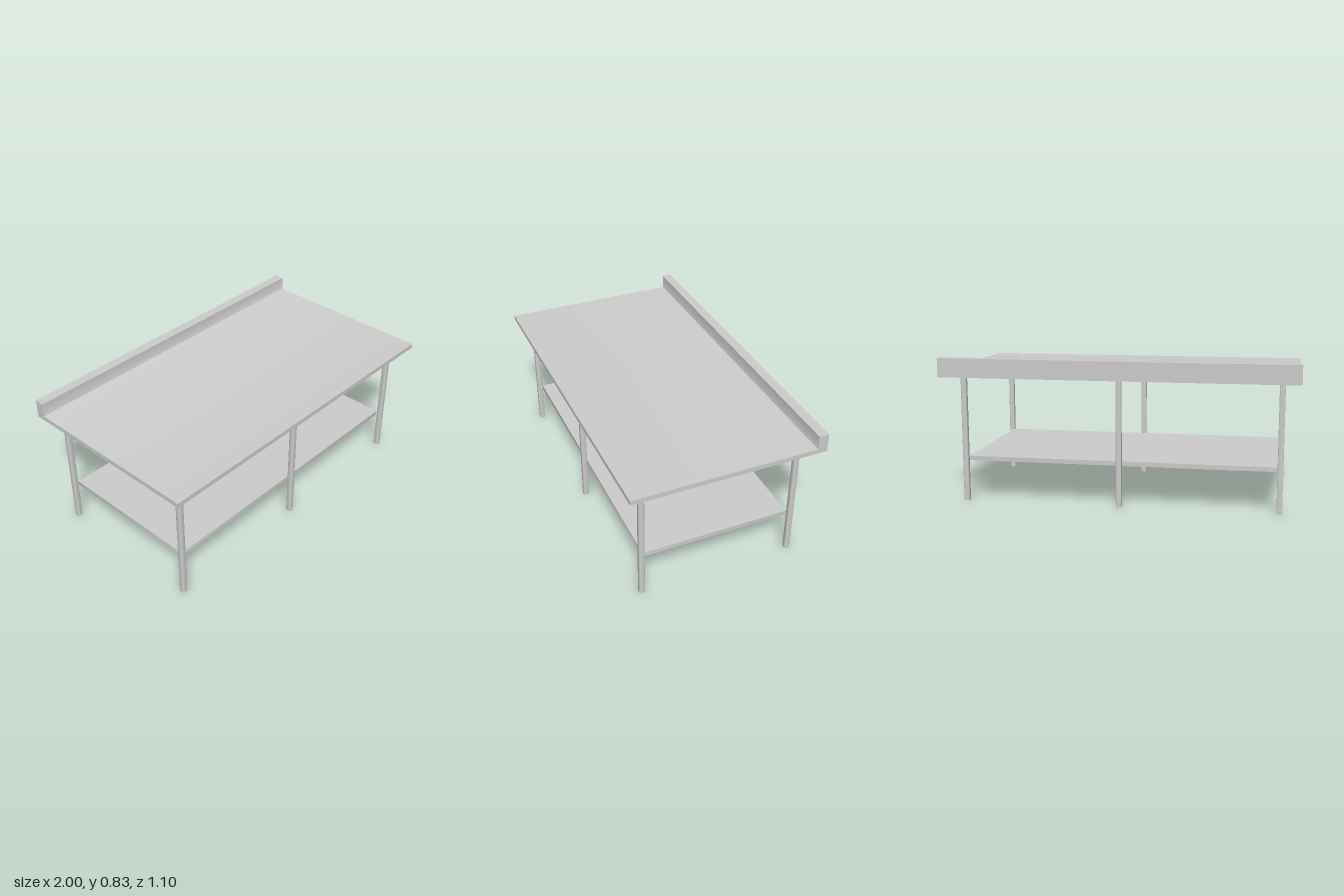
import * as THREE from 'three';
import { toCreasedNormals } from 'three/addons/utils/BufferGeometryUtils.js';

const material = new THREE.MeshStandardMaterial({ color: 0xcccccc });

// Upright slab with slightly rounded vertical corners, standing on its base
function roundedPrism(name, width, depth, height, radius) {
  const x = width / 2, z = depth / 2, r = radius;
  const shape = new THREE.Shape();
  shape.absarc(x - r, z - r, r, 0, Math.PI / 2);
  shape.absarc(-x + r, z - r, r, Math.PI / 2, Math.PI);
  shape.absarc(-x + r, -z + r, r, Math.PI, Math.PI * 1.5);
  shape.absarc(x - r, -z + r, r, Math.PI * 1.5, Math.PI * 2);
  const geometry = new THREE.ExtrudeGeometry(shape, { depth: height, bevelEnabled: false, curveSegments: 4 });
  geometry.rotateX(-Math.PI / 2);
  const mesh = new THREE.Mesh(toCreasedNormals(geometry, 0.6), material);
  mesh.name = name;
  return mesh;
}

export function createModel() {
  const table = new THREE.Group();
  table.name = 'workTable';

  // Worktop and raised back edge: one side profile with a tiny cove, swept across x
  const front = 0.552, back = -0.552, splash = -0.495;
  const bottom = 0.727, top = 0.754, rim = 0.834, cove = 0.005;
  const profile = new THREE.Shape();
  profile.moveTo(-front, bottom);
  profile.lineTo(-back, bottom);
  profile.lineTo(-back, rim);
  profile.lineTo(-splash, rim);
  profile.lineTo(-splash, top + cove);
  profile.quadraticCurveTo(-splash, top, -splash - cove, top);
  profile.lineTo(-front, top);
  profile.closePath();
  const topGeometry = new THREE.ExtrudeGeometry(profile, { depth: 2, bevelEnabled: false, curveSegments: 4 });
  topGeometry.translate(0, 0, -1).rotateY(Math.PI / 2);
  const worktop = new THREE.Mesh(toCreasedNormals(topGeometry, 0.6), material);
  worktop.name = 'worktopWithBacksplash';
  table.add(worktop);

  // Six legs in two rows
  const legSize = 0.031;
  const legX = [-0.899, -0.006, 0.887];
  const legZ = [0.452, -0.441];
  for (const z of legZ) {
    for (const x of legX) {
      const leg = roundedPrism(z > 0 ? 'frontLeg' : 'backLeg', legSize, legSize, bottom, 0.005);
      leg.position.set(x, 0, z);
      table.add(leg);
    }
  }

  // Lower shelf fitted between the inner faces of the legs
  const shelf = roundedPrism('lowerShelf', legX[2] - legX[0] - legSize, legZ[0] - legZ[1] - legSize, 0.026, 0.005);
  shelf.position.set((legX[0] + legX[2]) / 2, 0.232, (legZ[0] + legZ[1]) / 2);
  table.add(shelf);

  return table;
}
